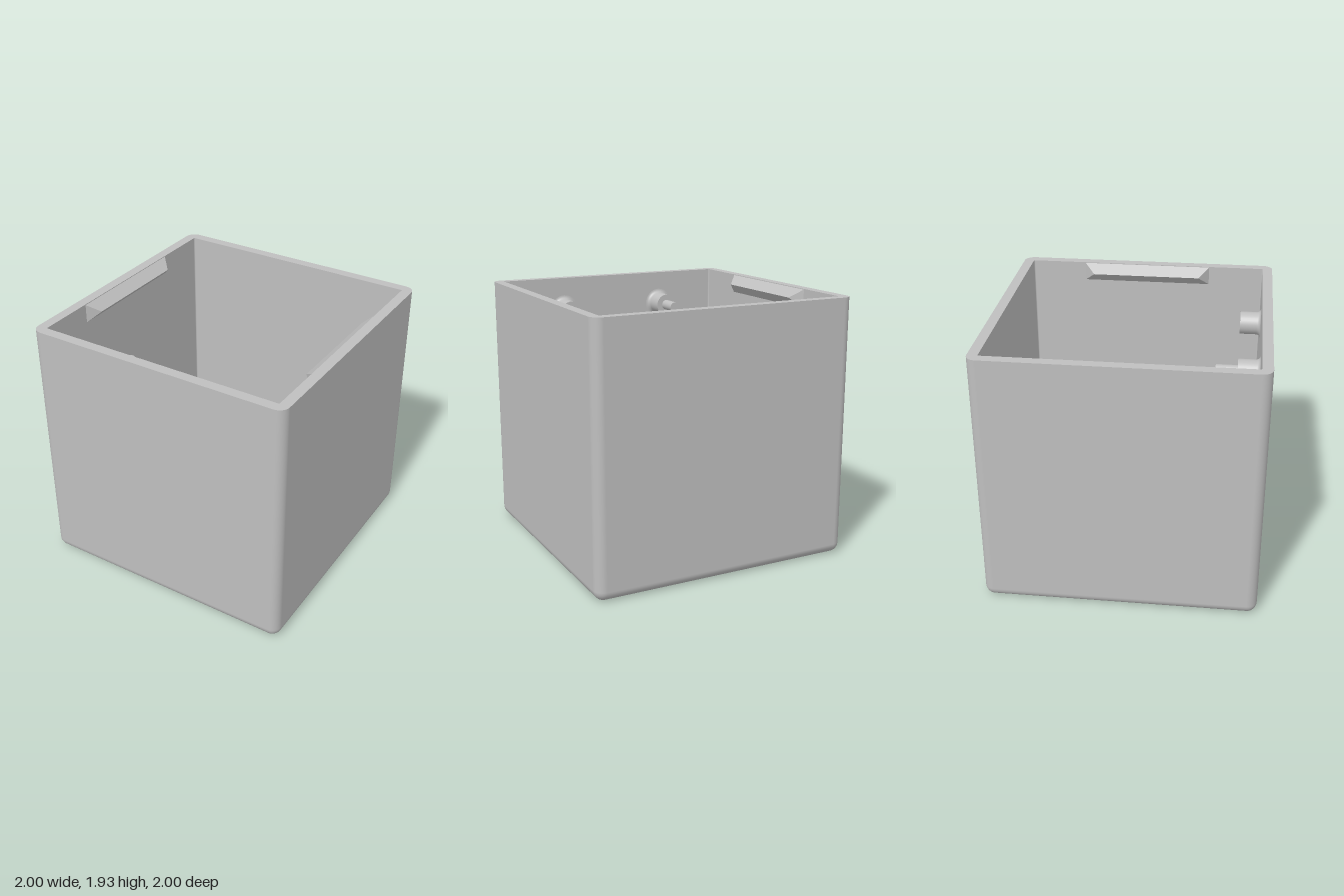
import * as THREE from 'three';
import { ConvexGeometry } from 'three/addons/geometries/ConvexGeometry.js';

const H = 1.93, R = 0.075, IN = 0.925, FLOOR = 0.075;
const SLOT = { x: -0.008, z: 0.665 };

// Rounded rectangle outline in x/z
function outline(hx, hz, r, cx = 0, cz = 0, seg = 8) {
  const pts = [];
  [[1, 1], [-1, 1], [-1, -1], [1, -1]].forEach(([sx, sz], q) => {
    for (let i = 0; i <= seg; i++) {
      const a = (q + i / seg) * Math.PI / 2;
      pts.push([cx + sx * (hx - r) + r * Math.cos(a), cz + sz * (hz - r) + r * Math.sin(a)]);
    }
  });
  return pts;
}

// Skin through outlines: upward order faces out, downward order faces in
function loft(rings) {
  const pos = [], idx = [], n = rings[0].pts.length;
  rings.forEach(({ pts, y }, k) => pts.forEach(([x, z], j) => {
    pos.push(x, y, z);
    if (k === 0) return;
    const a = (k - 1) * n + j, b = (k - 1) * n + (j + 1) % n;
    idx.push(a, a + n, b, b, a + n, b + n);
  }));
  const g = new THREE.BufferGeometry();
  g.setAttribute('position', new THREE.Float32BufferAttribute(pos, 3));
  g.setIndex(idx);
  g.computeVertexNormals();
  return g;
}

// Flat horizontal face with a hole
function plate(pts, hole, y, up) {
  const flip = up ? -1 : 1;
  const vec = (list) => list.map(([x, z]) => new THREE.Vector2(x, flip * z));
  const shape = new THREE.Shape(vec(pts));
  shape.holes.push(new THREE.Path(vec(hole)));
  return new THREE.ShapeGeometry(shape).rotateX(flip * Math.PI / 2).translate(0, y, 0);
}

export function createModel() {
  const model = new THREE.Group();
  const grey = new THREE.MeshStandardMaterial({ color: 0xbfbfbf });
  grey.name = 'grey plastic';
  const add = (name, geometry, parent = model) => {
    const mesh = new THREE.Mesh(geometry, grey);
    mesh.name = name;
    parent.add(mesh);
    return mesh;
  };

  // Outer shell with rounded bottom edge
  const outer = [];
  for (let i = 0; i <= 8; i++) {
    const t = (i / 8) * Math.PI / 2, r = Math.max(R * Math.sin(t), 1e-4);
    outer.push({ pts: outline(1 - R + r, 1 - R + r, r), y: R - R * Math.cos(t) });
  }
  outer.push({ pts: outline(1, 1, R), y: H });
  add('outerWalls', loft(outer));

  // Inner walls and rim
  const inner = outline(IN, IN, 0.01);
  add('innerWalls', loft([{ pts: inner, y: H }, { pts: inner, y: FLOOR }]));
  add('rim', plate(outline(1, 1, R), inner, H, true));

  // Floor with a cable slot rounded over on both sides
  const slot = (grow) => outline(0.143 + grow, 0.056 + grow, 0.0555 + grow, SLOT.x, SLOT.z);
  const f = 0.03, slotRings = [];
  for (let i = 0; i <= 6; i++) {
    const t = (i / 6) * Math.PI / 2;
    slotRings.push({ pts: slot(f * (1 - Math.sin(t))), y: FLOOR - f * (1 - Math.cos(t)) });
  }
  for (let i = 6; i >= 0; i--) {
    const t = (i / 6) * Math.PI / 2;
    slotRings.push({ pts: slot(f * (1 - Math.sin(t))), y: f * (1 - Math.cos(t)) });
  }
  add('cableSlot', loft(slotRings));
  add('innerFloor', plate(inner, slot(f), FLOOR, true));
  add('underside', plate(outline(IN, IN, 1e-4), slot(f), 0, false));

  // Wedge-shaped snap ridges under the rim of both side walls
  for (const s of [-1, 1]) {
    const pts = [];
    for (const e of [-1, 1]) {
      pts.push(new THREE.Vector3(s * IN, 1.925, e * 0.5));
      pts.push(new THREE.Vector3(s * IN, 1.785, e * 0.5));
      pts.push(new THREE.Vector3(s * 0.845, 1.86, e * 0.42));
    }
    add(s > 0 ? 'leftRidge' : 'rightRidge', new ConvexGeometry(pts));
  }

  // Board standoffs on the front wall, two of them with locating pins
  const profile = [];
  for (let i = 0; i <= 6; i++) {
    const t = (i / 6) * Math.PI / 2;
    profile.push(new THREE.Vector2(0.115 - 0.03 * Math.sin(t), 0.03 * (1 - Math.cos(t))));
  }
  profile.push(new THREE.Vector2(0.085, 0.155));
  for (const [x, y, pin] of [[-0.43, 1.675, true], [0.425, 1.675, false], [-0.43, 0.25, false], [0.425, 0.25, true]]) {
    const standoff = new THREE.Group();
    standoff.name = 'standoff';
    add('standoffPost', new THREE.LatheGeometry(profile, 32), standoff);
    add('standoffFace', new THREE.CircleGeometry(0.085, 32).rotateX(-Math.PI / 2).translate(0, 0.155, 0), standoff);
    if (pin) add('locatingPin', new THREE.CylinderGeometry(0.04, 0.04, 0.155, 24).translate(0, 0.23, 0), standoff);
    standoff.rotation.x = -Math.PI / 2;
    standoff.position.set(x, y, IN);
    model.add(standoff);
  }
  return model;
}
